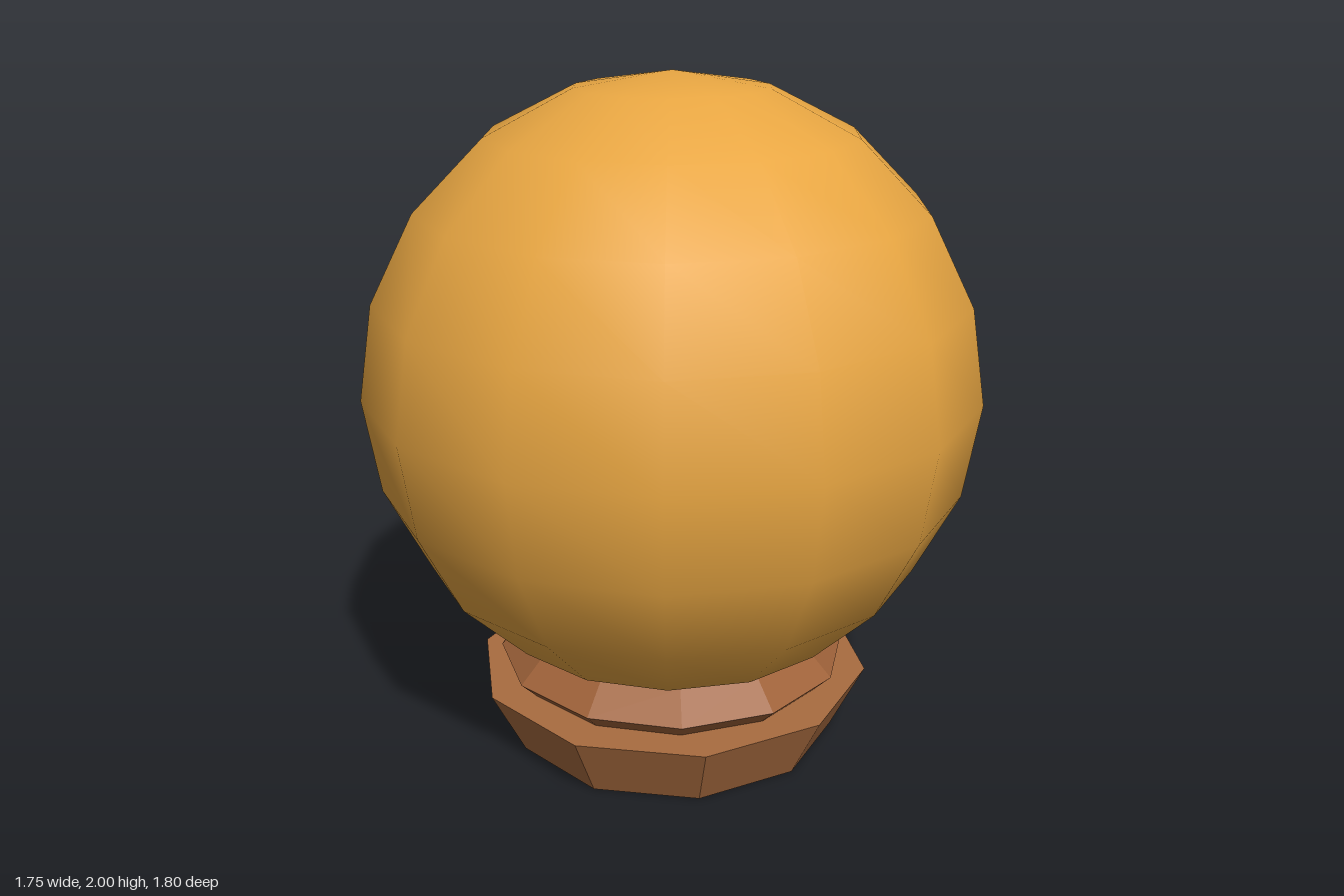
import * as THREE from 'three';

export function createModel() {
  const model = new THREE.Group();

  const addPart = (name, geometry, color, y, flatShading) => {
    const mesh = new THREE.Mesh(geometry, new THREE.MeshStandardMaterial({ color, flatShading }));
    mesh.name = name;
    mesh.position.y = y;
    model.add(mesh);
  };

  // Flared ten-sided foot
  addPart('base', new THREE.CylinderGeometry(0.6, 0.5, 0.2, 10), 0xa96c40, 0.1, true);

  // Faceted collar holding the ball, partly sunk into the foot
  addPart('collar', new THREE.TorusGeometry(0.45, 0.08, 4, 12).rotateX(Math.PI / 2), 0xa0633a, 0.25, true);

  // Smooth-shaded ball, turned so that corners point to front and back
  addPart('ball', new THREE.SphereGeometry(0.9, 14, 10).rotateY(Math.PI / 2), 0xe8a642, 1.1, false);

  return model;
}
